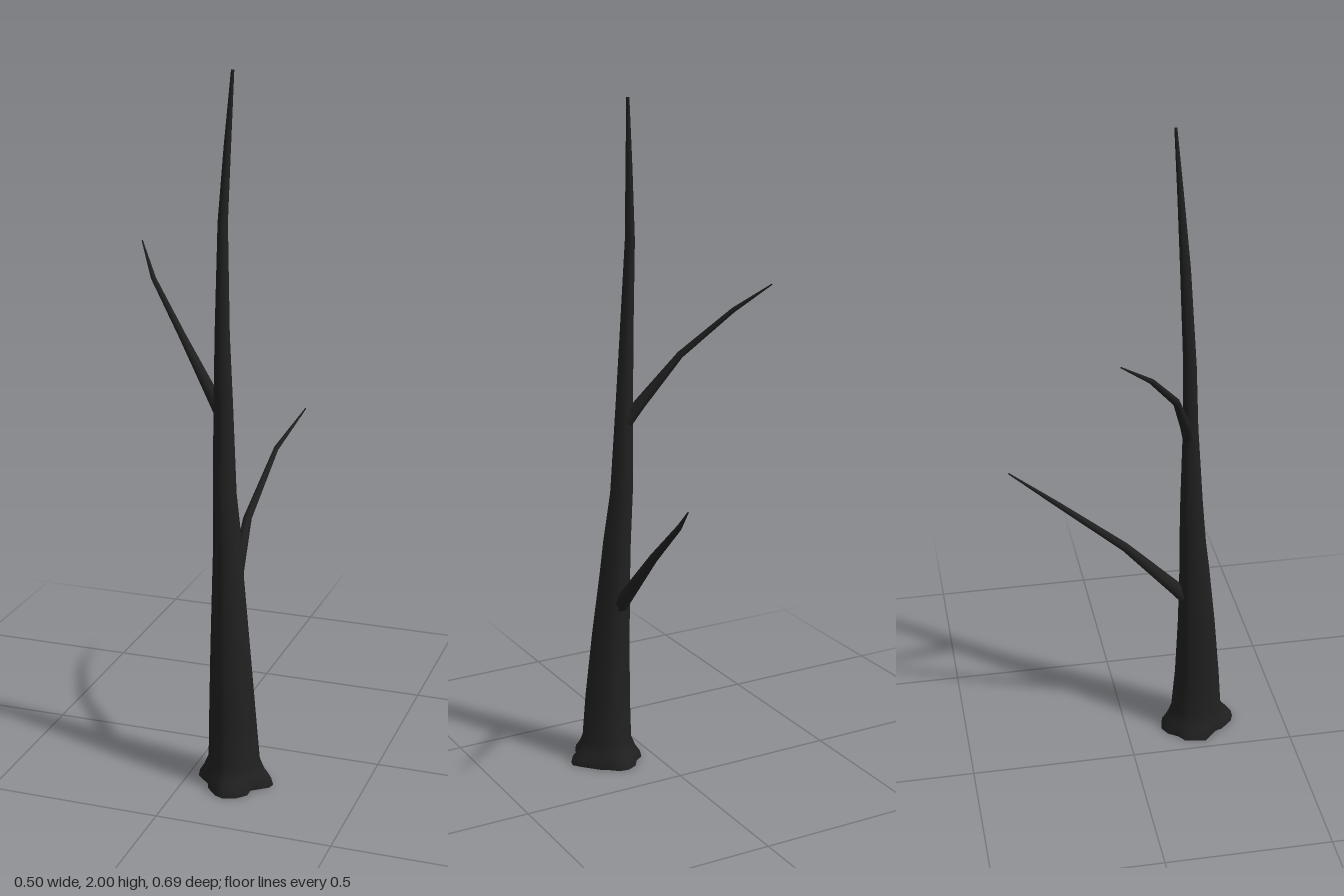
import * as THREE from 'three';

const bark = new THREE.MeshStandardMaterial({ color: 0x202020 });
bark.name = 'charcoal bark';

// Skin a stack of equal-sized rings, with smooth sides and separate flat end caps
function loft(rings, name) {
  const n = rings[0].length, last = rings.length - 1;
  const pos = [], idx = [];
  const put = (p) => pos.push(p.x, p.y, p.z) / 3 - 1;
  rings.forEach((ring) => ring.forEach(put));
  for (let i = 0; i < last; i++) {
    for (let j = 0; j < n; j++) {
      const k = (j + 1) % n, a = i * n + j, b = i * n + k;
      idx.push(a, a + n, b, b, a + n, b + n);
    }
  }
  for (const [ring, top] of [[rings[0], false], [rings[last], true]]) {
    const mid = ring.reduce((s, p) => s.add(p), new THREE.Vector3()).divideScalar(n);
    const c = put(mid);
    const ids = ring.map(put);
    for (let j = 0; j < n; j++) {
      const k = (j + 1) % n;
      if (top) idx.push(c, ids[k], ids[j]);
      else idx.push(c, ids[j], ids[k]);
    }
  }
  const g = new THREE.BufferGeometry();
  g.setAttribute('position', new THREE.Float32BufferAttribute(pos, 3));
  g.setIndex(idx);
  g.computeVertexNormals();
  const mesh = new THREE.Mesh(g, bark);
  mesh.name = name;
  return mesh;
}

// Lobed outline of the root flare, [x, z], running from +x towards +z
const foot = [
  [0.25, 0.22], [0.245, 0.24], [0.2, 0.275], [0.2, 0.305], [0.175, 0.333], [0.14, 0.345],
  [0.115, 0.335], [0.08, 0.298], [0.072, 0.275], [0.03, 0.235], [0.04, 0.172], [0.065, 0.155],
  [0.085, 0.125], [0.115, 0.11], [0.145, 0.115], [0.16, 0.13], [0.19, 0.15], [0.235, 0.2],
];

// Trunk sections: y, min x, max x, min z, max z, share of the foot outline
const sections = [
  [0, 0.05, 0.22, 0.13, 0.32, 1],
  [0.02, 0.05, 0.22, 0.13, 0.32, 0.8],
  [0.04, 0.055, 0.21, 0.142, 0.308, 0.35],
  [0.07, 0.06, 0.205, 0.147, 0.3, 0.05],
  [0.2, 0.06, 0.195, 0.155, 0.292, 0],
  [0.4, 0.061, 0.175, 0.16, 0.273, 0],
  [0.6, 0.062, 0.153, 0.16, 0.25, 0],
  [0.7, 0.062, 0.145, 0.158, 0.237, 0],
  [0.85, 0.058, 0.125, 0.156, 0.222, 0],
  [1.1, 0.057, 0.112, 0.159, 0.203, 0],
  [1.3, 0.058, 0.1, 0.156, 0.194, 0],
  [1.6, 0.06, 0.088, 0.142, 0.172, 0],
  [1.8, 0.072, 0.092, 0.134, 0.153, 0],
  [2, 0.087, 0.096, 0.125, 0.133, 0],
];

function makeTrunk() {
  const rings = sections.map(([y, x0, x1, z0, z1, mix]) => foot.map(([fx, fz]) => {
    const a = Math.atan2(fz - 0.225, fx - 0.135);
    const x = (x0 + x1) / 2 + Math.cos(a) * (x1 - x0) / 2;
    const z = (z0 + z1) / 2 + Math.sin(a) * (z1 - z0) / 2;
    return new THREE.Vector3(x + (fx - x) * mix, y, z + (fz - z) * mix);
  }));
  return loft(rings, 'trunk');
}

// Tapered branch through points [x, y, z, radius]
function makeBranch(path, name, sides = 6) {
  const pts = path.map((p) => new THREE.Vector3(p[0], p[1], p[2]));
  const up = new THREE.Vector3(0, 1, 0);
  const rings = pts.map((p, i) => {
    const d = pts[Math.min(i + 1, pts.length - 1)].clone().sub(pts[Math.max(i - 1, 0)]).normalize();
    const u = new THREE.Vector3().crossVectors(up, d).normalize();
    const v = new THREE.Vector3().crossVectors(u, d);
    return Array.from({ length: sides }, (_, j) => {
      const a = (j / sides) * Math.PI * 2;
      return p.clone().addScaledVector(u, Math.cos(a) * path[i][3]).addScaledVector(v, Math.sin(a) * path[i][3]);
    });
  });
  return loft(rings, name);
}

export function createModel() {
  const tree = new THREE.Group();
  tree.name = 'bareTree';
  tree.add(
    makeTrunk(),
    makeBranch([
      [0.085, 1.06, 0.178, 0.02], [0.045, 1.12, 0.16, 0.018], [-0.06, 1.265, 0.108, 0.011],
      [-0.18, 1.4, 0.015, 0.008], [-0.25, 1.485, -0.08, 0.002],
    ], 'upperBranch'),
    makeBranch([
      [0.106, 0.49, 0.19, 0.024], [0.104, 0.54, 0.145, 0.021], [0.093, 0.71, -0.01, 0.013],
      [0.117, 0.865, -0.205, 0.008], [0.166, 0.955, -0.34, 0.002],
    ], 'lowerBranch'),
  );
  return tree;
}
